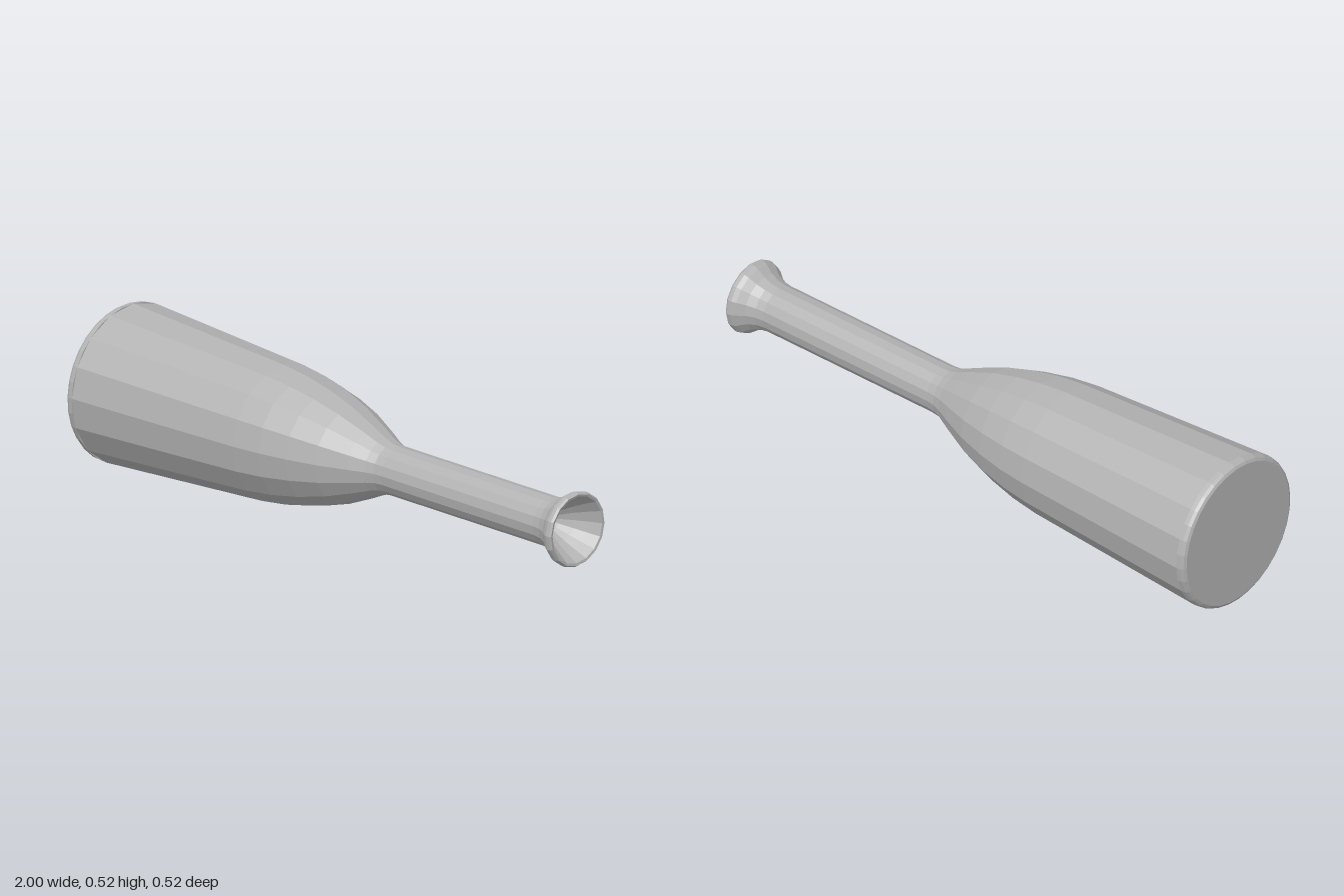
import * as THREE from 'three';

const AXIS_Y = 0.258; // height of the bottle's lying axis

export function createModel() {
  const grey = new THREE.MeshStandardMaterial({ color: 0xb2b2b2, flatShading: true });
  grey.name = 'grey';
  const group = new THREE.Group();
  group.name = 'lyingBottle';

  // Turns a profile of [position along x, radius] around the lying axis
  function turned(name, profile, sides, start = -0.039) {
    const points = profile.map(([x, r]) => new THREE.Vector2(r, x));
    const geometry = new THREE.LatheGeometry(points, sides, start);
    geometry.rotateZ(-Math.PI / 2);
    const mesh = new THREE.Mesh(geometry, grey);
    mesh.name = name;
    mesh.position.y = AXIS_Y;
    group.add(mesh);
  }

  // Rounded foot with its flat bottom, finer than the body
  turned('base', [
    [-1, 0], [-1, 0.243], [-0.995, 0.252], [-0.985, 0.257], [-0.97, 0.258], [-0.97, 0.24],
  ], 32);

  // Tapered body and shoulder
  turned('body', [
    [-0.97, 0.258], [-0.3, 0.22], [-0.2, 0.208], [-0.1, 0.187], [0, 0.157],
    [0.1, 0.115], [0.15, 0.092], [0.18, 0.082], [0.21, 0.079],
  ], 16);

  // Straight neck
  turned('neck', [[0.21, 0.079], [0.88, 0.079]], 16);

  // Flared mouth with rolled lip and hollow funnel inside
  turned('mouth', [
    [0.88, 0.079], [0.91, 0.083], [0.94, 0.095], [0.965, 0.114], [0.98, 0.121],
    [0.993, 0.121], [1, 0.116], [0.998, 0.108],
    [0.96, 0.088], [0.92, 0.065], [0.88, 0.036], [0.84, 0],
  ], 16);

  return group;
}
